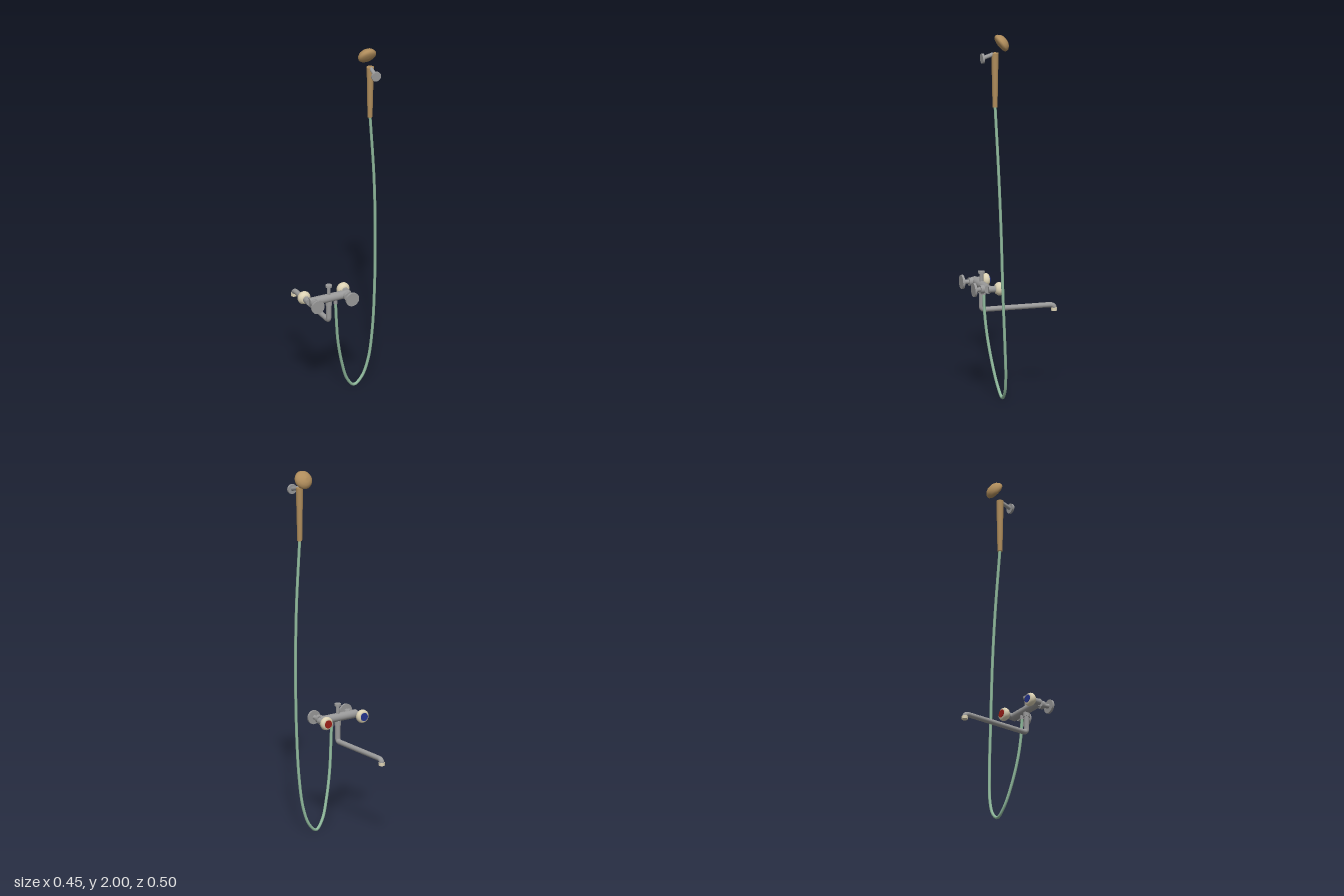
import * as THREE from 'three';

const mat = (name, color) => {
  const m = new THREE.MeshStandardMaterial({ color });
  m.name = name;
  return m;
};

export function createModel() {
  const chrome = mat('chrome', 0x999999);
  const cream = mat('cream', 0xdcd2b4);
  const brown = mat('brown', 0xb08d5c);
  const green = mat('hoseGreen', 0x8fb99c);
  const red = mat('hotRed', 0xa02018);
  const blue = mat('coldBlue', 0x24348f);

  const model = new THREE.Group();
  model.name = 'showerMixer';
  const V = (p) => new THREE.Vector3(...p);
  const UP = new THREE.Vector3(0, 1, 0);

  const add = (parent, name, geometry, material) => {
    const mesh = new THREE.Mesh(geometry, material);
    mesh.name = name;
    parent.add(mesh);
    return mesh;
  };
  // cylinder running from point a to point b
  const rod = (parent, name, a, b, ra, rb, material) => {
    const from = V(a), dir = V(b).sub(from), len = dir.length();
    const mesh = add(parent, name, new THREE.CylinderGeometry(rb, ra, len, 32), material);
    mesh.position.copy(from).addScaledVector(dir, 0.5);
    mesh.quaternion.setFromUnitVectors(UP, dir.normalize());
  };
  // turned shape whose axis points along dir
  const turned = (parent, name, profile, pos, dir, material) => {
    const points = profile.map(([r, y]) => new THREE.Vector2(r, y));
    const mesh = add(parent, name, new THREE.LatheGeometry(points, 40), material);
    mesh.position.set(...pos);
    mesh.quaternion.setFromUnitVectors(UP, V(dir).normalize());
  };

  const Y = 0.588, Z = 0.172, MID = -0.073;

  // mixer body
  const mixer = new THREE.Group();
  mixer.name = 'mixer';
  model.add(mixer);
  rod(mixer, 'body', [-0.19, Y, Z], [0.043, Y, Z], 0.023, 0.023, chrome);

  // mirrored valves and wall connections
  for (const [side, label, capMat] of [[-1, 'cold', blue], [1, 'hot', red]]) {
    const at = (d) => MID + side * d;
    rod(mixer, label + 'ValveStem', [at(0.1165), Y, Z], [at(0.1165), Y, 0.125], 0.018, 0.018, chrome);
    turned(mixer, label + 'Knob',
      [[0, 0], [0.020, 0], [0.027, 0.006], [0.034, 0.015], [0.0365, 0.023], [0.035, 0.032], [0.031, 0.039], [0.023, 0.042], [0, 0.042]],
      [at(0.1165), Y, 0.135], [0, 0, -1], cream);
    rod(mixer, label + 'Cap', [at(0.1165), Y, 0.094], [at(0.1165), Y, 0.09], 0.022, 0.022, capMat);
    rod(mixer, label + 'Inlet', [at(0.097), Y, Z], [at(0.097), Y, 0.192], 0.016, 0.016, chrome);
    rod(mixer, label + 'Nut', [at(0.097), Y, 0.19], [at(0.097), Y, 0.211], 0.0225, 0.0225, chrome);
    rod(mixer, label + 'Offset', [at(0.097), Y, 0.208], [at(0.103), Y, 0.242], 0.012, 0.012, chrome);
    rod(mixer, label + 'WallFlange', [at(0.103), Y, 0.24], [at(0.103), Y, 0.252], 0.038, 0.038, chrome);
  }

  // diverter on top
  rod(mixer, 'diverterStem', [MID, Y, Z], [MID, 0.657, Z], 0.010, 0.010, chrome);
  rod(mixer, 'diverterCap', [MID, 0.652, Z], [MID, 0.664, Z], 0.018, 0.018, chrome);

  // long spout with bent ends
  const spout = new THREE.CurvePath();
  const lines = [[0.58, 0.475, Z, Z], [0.454, 0.454, 0.152, -0.205], [0.437, 0.43, -0.235, -0.235]];
  const ends = lines.map(([y0, y1, z0, z1]) => [V([MID, y0, z0]), V([MID, y1, z1])]);
  const corners = [V([MID, 0.454, Z]), V([MID, 0.454, -0.232])];
  ends.forEach(([a, b], i) => {
    spout.add(new THREE.LineCurve3(a, b));
    if (i < 2) spout.add(new THREE.QuadraticBezierCurve3(b, corners[i], ends[i + 1][0]));
  });
  add(mixer, 'spout', new THREE.TubeGeometry(spout, 160, 0.014, 24), chrome);
  rod(mixer, 'spoutCollar', [MID, 0.57, Z], [MID, 0.545, Z], 0.018, 0.018, chrome);
  rod(mixer, 'spoutNozzle', [MID, 0.438, -0.235], [MID, 0.421, -0.235], 0.0165, 0.0165, cream);

  // hose outlet and hanging hose
  rod(mixer, 'hoseOutlet', [-0.033, 0.58, Z], [-0.033, 0.545, Z], 0.011, 0.011, chrome);
  const path = new THREE.CatmullRomCurve3([
    [-0.033, 0.56, 0.172], [-0.026, 0.44, 0.169], [-0.011, 0.31, 0.158], [0.022, 0.165, 0.140],
    [0.062, 0.055, 0.123], [0.107, 0.008, 0.115], [0.152, 0.045, 0.115], [0.187, 0.142, 0.121],
    [0.206, 0.31, 0.132], [0.214, 0.6, 0.146], [0.212, 0.95, 0.156], [0.200, 1.25, 0.165], [0.171, 1.62, 0.176],
  ].map(V));
  add(model, 'hose', new THREE.TubeGeometry(path, 180, 0.008, 16), green);

  // hand shower
  const hand = new THREE.Group();
  hand.name = 'handShower';
  model.add(hand);
  rod(hand, 'handle', [0.171, 1.61, 0.176], [0.172, 1.905, 0.177], 0.0135, 0.0195, brown);
  turned(hand, 'sprayHead',
    [[0, -0.007], [0.022, -0.006], [0.039, -0.002], [0.048, 0.004], [0.0515, 0.012], [0.048, 0.024], [0.038, 0.036], [0.022, 0.044], [0, 0.047]],
    [0.172, 1.949, 0.152], [0, 0.55, -0.83], brown);

  // wall holder for the hand shower
  rod(hand, 'holderArm', [0.172, 1.882, 0.242], [0.172, 1.9, 0.186], 0.011, 0.011, chrome);
  rod(hand, 'holderFlange', [0.172, 1.88, 0.24], [0.172, 1.88, 0.252], 0.027, 0.027, chrome);

  return model;
}
